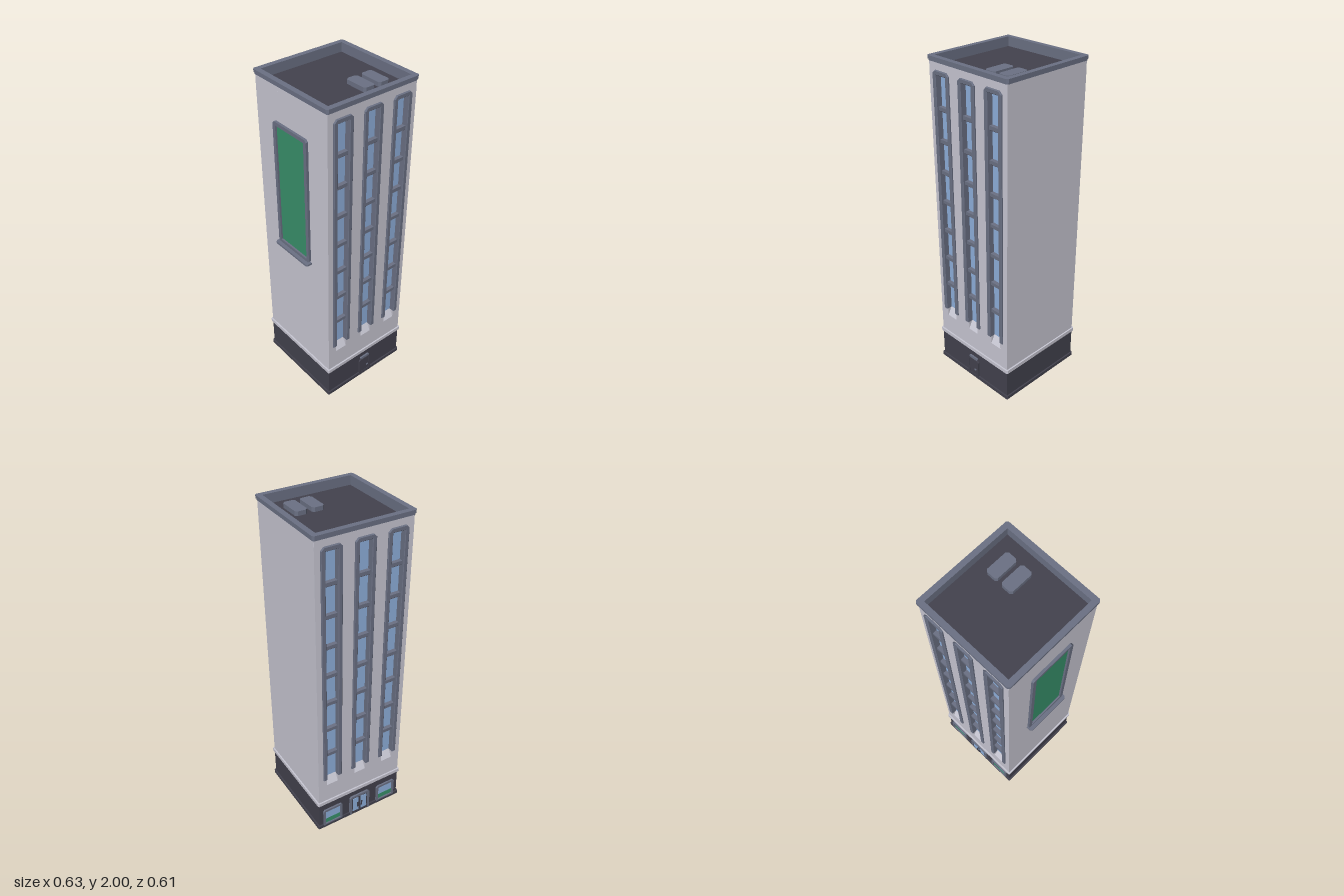
import * as THREE from 'three';

const mat = (name, color) => {
  const m = new THREE.MeshStandardMaterial({ color });
  m.name = name;
  return m;
};

export function createModel() {
  const wall = mat('pale wall', 0xc8c7d3);
  const slate = mat('slate trim', 0x6b7184);
  const dark = mat('dark base', 0x43424e);
  const glass = mat('blue glass', 0x8fb0dc);
  const green = mat('green panel', 0x38906a);

  const H = 0.293; // half width of the tower
  const columns = [-0.197, 0, 0.197];
  const model = new THREE.Group();
  model.name = 'tower';
  const tower = new THREE.Group();
  tower.name = 'building';
  tower.position.x = 0.012;
  model.add(tower);

  const add = (parent, name, geo, material, x = 0, y = 0, z = 0) => {
    const mesh = new THREE.Mesh(geo, material);
    mesh.name = name;
    mesh.position.set(x, y, z);
    parent.add(mesh);
    return mesh;
  };
  // box given by its ranges
  const box = (parent, name, material, x0, x1, y0, y1, z0, z1) =>
    add(parent, name, new THREE.BoxGeometry(x1 - x0, y1 - y0, z1 - z0), material,
      (x0 + x1) / 2, (y0 + y1) / 2, (z0 + z1) / 2);
  const poly = (pts) => new THREE.Shape(pts.map((p) => new THREE.Vector2(...p)));
  const extrude = (shape, depth) => new THREE.ExtrudeGeometry(shape, { depth, bevelEnabled: false });
  // rectangle with cut corners
  const cutRect = (w, h, c) => poly([
    [-w + c, -h], [w - c, -h], [w, -h + c], [w, h - c],
    [w - c, h], [-w + c, h], [-w, h - c], [-w, -h + c]]);
  const rect = (x0, x1, y0, y1) => poly([[x0, y0], [x1, y0], [x1, y1], [x0, y1]]);
  // horizontal slab or ring from y0 to y1
  const slab = (name, material, shape, y0, y1, hole) => {
    if (hole) shape.holes.push(rect(-hole, hole, -hole, hole));
    const geo = extrude(shape, y1 - y0).rotateX(-Math.PI / 2);
    return add(tower, name, geo, material, 0, y0, 0);
  };
  // upside-down U with cut top corners, for window and door surrounds
  const arch = (w, wi, y0, y1, yi, c) => poly([
    [-w, y0], [-wi, y0], [-wi, yi], [wi, yi], [wi, y0], [w, y0],
    [w, y1 - c], [w - c, y1], [-w + c, y1], [-w, y1 - c]]);

  // main masses
  box(tower, 'groundFloor', dark, -H, H, 0, 0.2, -H, H);
  box(tower, 'towerCore', wall, -H, H, 0.2, 1.94, -0.262, 0.262);
  slab('plinth', dark, cutRect(0.3025, 0.3025, 0.006), 0, 0.022);
  slab('bandCourse', wall, cutRect(0.3025, 0.3025, 0.006), 0.2, 0.223);

  // roof
  box(tower, 'roofFloor', dark, -0.274, 0.274, 1.94, 1.945, -0.274, 0.274);
  slab('parapet', wall, cutRect(H, H, 0.001), 1.94, 1.975, 0.275);
  slab('parapetLining', slate, cutRect(0.28, 0.28, 0.001), 1.941, 1.985, 0.271);
  slab('corniceLower', slate, cutRect(0.298, 0.298, 0.008), 1.972, 1.982, 0.272);
  slab('corniceCap', slate, cutRect(0.3025, 0.3025, 0.01), 1.982, 2, 0.271);
  for (const x of [0.063, 0.162]) {
    const unit = slab('roofUnit', slate, cutRect(0.036, 0.073, 0.012), 1.94, 1.97);
    unit.position.x = x;
    unit.position.z = 0.122;
  }

  // one window facade, repeated on front and back
  const makeFacade = (name) => {
    const g = new THREE.Group();
    g.name = name;
    const skin = rect(-H, H, 0.2, 1.94);
    for (const x of columns) skin.holes.push(rect(x - 0.038, x + 0.038, 0.35, 1.906));
    add(g, 'facadeWall', extrude(skin, H - 0.262), wall, 0, 0, 0.262);
    for (const x of columns) {
      box(g, 'glassStrip', glass, x - 0.0385, x + 0.0385, 0.38, 1.91, 0.26, 0.266);
      const frame = new THREE.ExtrudeGeometry(arch(0.0595, 0.0405, 0.403, 1.927, 1.908, 0.016), {
        depth: 0.034, bevelThickness: 0.003, bevelSize: 0.003, bevelSegments: 1 });
      add(g, 'windowSurround', frame, slate, x, 0, 0.266);
      const sill = poly([[0.26, 0.35], [H, 0.35], [0.266, 0.402], [0.26, 0.402]]);
      add(g, 'slopedSill', extrude(sill, 0.076).rotateY(-Math.PI / 2), wall, x + 0.038, 0, 0);
      for (let i = 0; i < 7; i++) {
        const y = 0.588 + i * 0.188;
        box(g, 'floorBar', slate, x - 0.039, x + 0.039, y - 0.008, y + 0.013, 0.264, 0.29);
        box(g, 'floorBarFoot', dark, x - 0.039, x + 0.039, y - 0.013, y - 0.008, 0.264, 0.285);
      }
    }
    tower.add(g);
    return g;
  };
  const front = makeFacade('frontFacade');
  const back = makeFacade('backFacade');
  back.rotation.y = Math.PI;

  // front service door
  box(front, 'serviceDoor', dark, -0.034, 0.034, 0, 0.125, 0.29, 0.3);
  add(front, 'doorSurround', extrude(arch(0.046, 0.034, 0, 0.136, 0.125, 0.01), 0.013), dark, 0, 0, 0.2905);
  add(front, 'doorHood', extrude(cutRect(0.035, 0.008, 0.005), 0.012), slate, 0, 0.147, 0.291);
  box(front, 'doorHandle', slate, 0.012, 0.026, 0.058, 0.066, 0.298, 0.305);

  // back shop windows
  for (const x of [-0.197, 0.197]) {
    box(back, 'shopGlass', glass, x - 0.055, x + 0.055, 0.062, 0.132, 0.29, 0.295);
    box(back, 'shopPanel', green, x - 0.055, x + 0.055, 0.024, 0.062, 0.29, 0.2955);
    add(back, 'shopSurround', extrude(arch(0.068, 0.054, 0.015, 0.145, 0.13, 0.01), 0.013), slate, x, 0, 0.2905);
    box(back, 'shopSill', slate, x - 0.068, x + 0.068, 0.018, 0.027, 0.29, 0.3035);
  }

  // back entrance with paired glass doors
  box(back, 'entranceDoors', dark, -0.058, 0.058, 0, 0.14, 0.29, 0.3);
  add(back, 'entranceSurround', extrude(arch(0.073, 0.058, 0, 0.155, 0.138, 0.012), 0.013), slate, 0, 0, 0.2912);
  for (const s of [-1, 1]) {
    box(back, 'doorGlass', glass, s * 0.029 - 0.021, s * 0.029 + 0.021, 0.022, 0.13, 0.298, 0.3028);
    box(back, 'doorPull', dark, s * 0.014 - 0.005, s * 0.014 + 0.005, 0.05, 0.09, 0.3, 0.3045);
  }

  // side display board
  const board = new THREE.Group();
  board.name = 'displayBoard';
  board.rotation.y = -Math.PI / 2;
  tower.add(board);
  const rim = cutRect(0.14, 0.393, 0.012);
  rim.holes.push(rect(-0.118, 0.118, -0.372, 0.372));
  add(board, 'boardFrame', extrude(rim, 0.018), slate, 0, 1.377, 0.29);
  box(board, 'boardPanel', green, -0.12, 0.12, 1.0, 1.755, 0.289, 0.297);
  const ledge = poly([[-0.147, 0.29], [0.147, 0.29], [0.147, 0.32], [0.137, 0.33], [-0.137, 0.33], [-0.147, 0.32]]);
  add(board, 'boardLedge', extrude(ledge, 0.012).rotateX(Math.PI / 2), slate, 0, 0.986, 0);

  return model;
}
